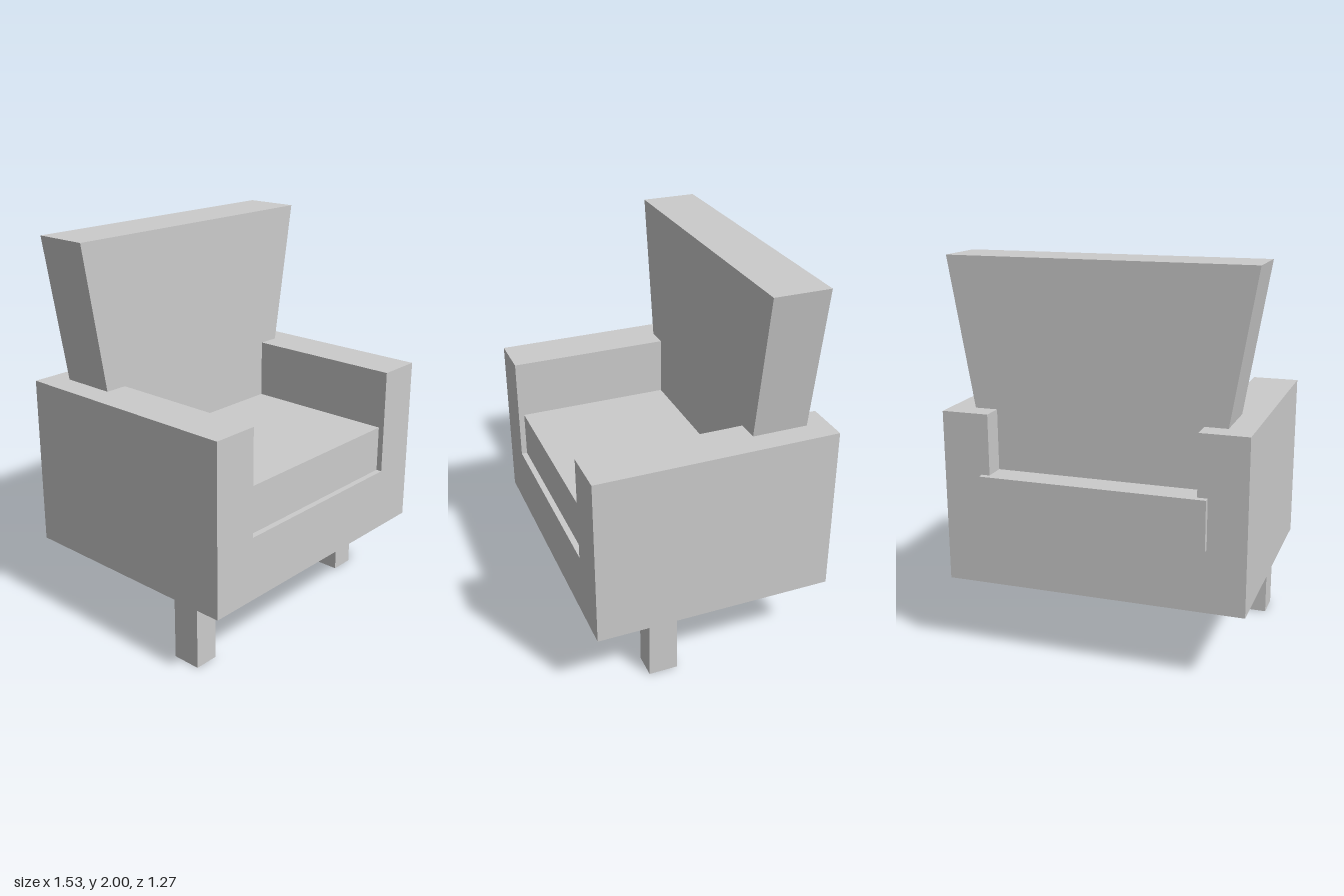
import * as THREE from 'three';

const material = new THREE.MeshStandardMaterial({ color: 0xcccccc, flatShading: true });

// Box given by its minimum and maximum corners
function addBox(group, name, [x0, y0, z0], [x1, y1, z1]) {
  const mesh = new THREE.Mesh(new THREE.BoxGeometry(x1 - x0, y1 - y0, z1 - z0), material);
  mesh.position.set((x0 + x1) / 2, (y0 + y1) / 2, (z0 + z1) / 2);
  mesh.name = name;
  group.add(mesh);
}

export function createModel() {
  const chair = new THREE.Group();
  chair.name = 'armchair';

  // Base with an armrest standing on each side
  addBox(chair, 'base', [-0.767, 0.375, -0.605], [0.765, 0.705, 0.635]);
  addBox(chair, 'leftArm', [0.525, 0.705, -0.605], [0.765, 1.255, 0.635]);
  addBox(chair, 'rightArm', [-0.767, 0.705, -0.605], [-0.525, 1.255, 0.635]);

  // Seat cushion, tucked into the arms and sticking out at the rear
  addBox(chair, 'seatCushion', [-0.575, 0.695, -0.637], [0.567, 0.947, 0.605]);

  // Upright backrest, flaring towards the top
  const bottom = 0.75, top = 2, halfBottom = 0.555, halfTop = 0.765;
  const outline = new THREE.Shape([
    new THREE.Vector2(-halfBottom, bottom),
    new THREE.Vector2(halfBottom, bottom),
    new THREE.Vector2(halfTop, top),
    new THREE.Vector2(-halfTop, top),
  ]);
  const backrest = new THREE.Mesh(
    new THREE.ExtrudeGeometry(outline, { depth: 0.287, bevelEnabled: false }), material);
  backrest.position.z = -0.495;
  backrest.name = 'backrest';
  chair.add(backrest);

  // Two legs, slightly staggered
  addBox(chair, 'leftLeg', [0.555, 0, 0.19], [0.685, 0.375, 0.34]);
  addBox(chair, 'rightLeg', [-0.7, 0, 0.29], [-0.57, 0.375, 0.44]);

  return chair;
}
